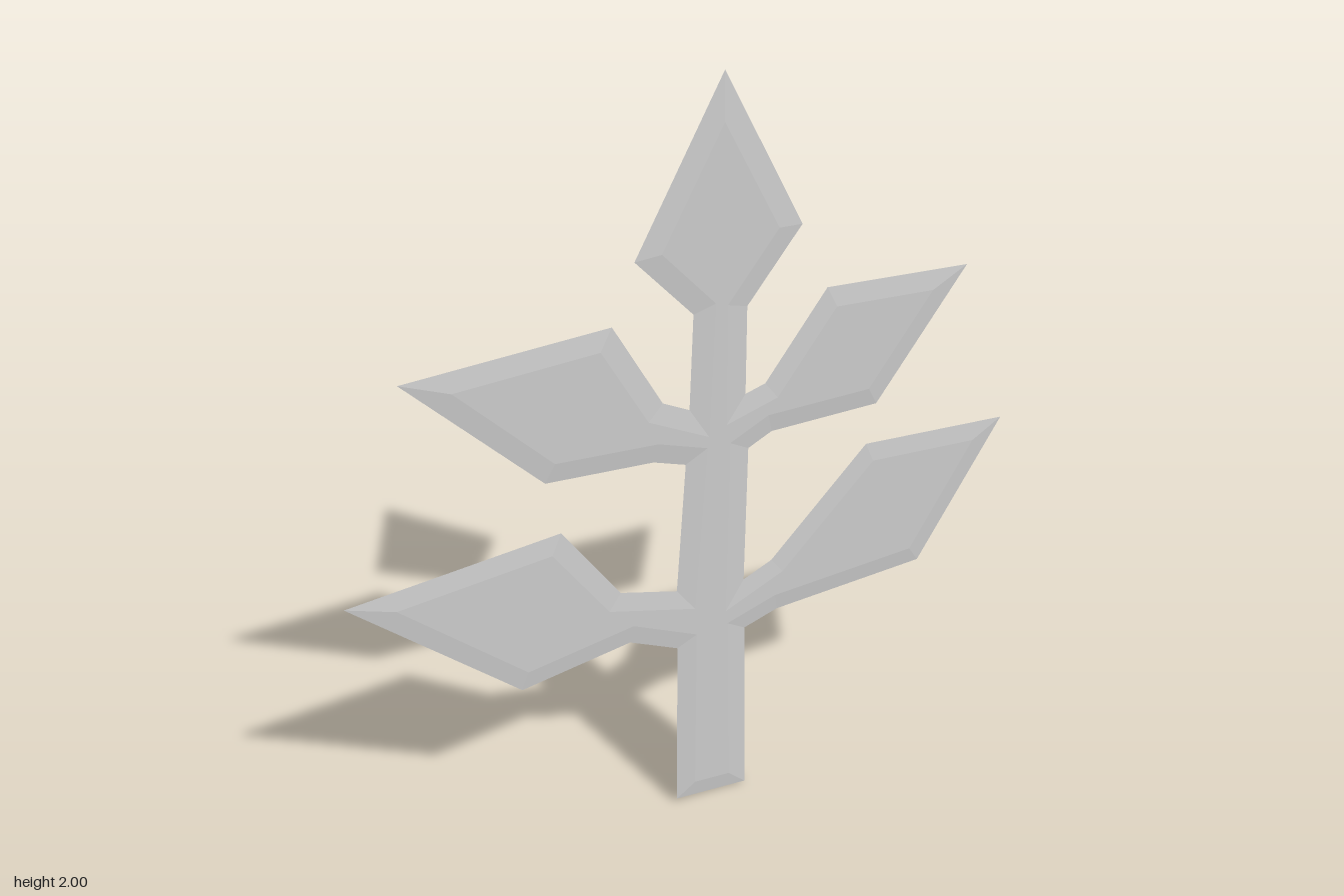
import * as THREE from 'three';

const BEVEL = 0.05;   // width of the sloped rim
const HALF = 0.0055;  // half thickness of the flat plate

// Outline, counter-clockwise from the front; each leaf starts and ends on the stem
const foot = [[-0.06, 0.02], [0.14, 0]];
const leaves = {
  lowerLeftLeaf: [[0.13, 0.54], [0.22, 0.57], [0.63, 0.59], [0.84, 0.97], [0.45, 1.0], [0.2, 0.73], [0.125, 0.695]],
  upperLeftLeaf: [[0.13, 1.08], [0.19, 1.11], [0.47, 1.11], [0.69, 1.43], [0.32, 1.455], [0.17, 1.245], [0.12, 1.23]],
  topLeaf: [[0.12, 1.455], [0.25, 1.625], [0.06, 2.0], [-0.145, 1.62], [-0.01, 1.465]],
  upperRightLeaf: [[-0.02, 1.225], [-0.085, 1.26], [-0.2, 1.48], [-0.67, 1.46], [-0.37, 1.13], [-0.11, 1.11], [-0.03, 1.08]],
  lowerRightLeaf: [[-0.055, 0.72], [-0.2, 0.765], [-0.34, 0.985], [-0.845, 0.94], [-0.46, 0.56], [-0.18, 0.605], [-0.055, 0.54]],
};

const outline = [...foot, ...Object.values(leaves).flat()].map(([x, y]) => new THREE.Vector2(x, y));
const count = outline.length;

// Mitred inset of the whole outline
const inwardNormal = (a, b) => new THREE.Vector2(a.y - b.y, b.x - a.x).normalize();
const inner = outline.map((p, i) => {
  const n1 = inwardNormal(outline[(i + count - 1) % count], p);
  const n2 = inwardNormal(p, outline[(i + 1) % count]);
  const scale = BEVEL / (1 + n1.dot(n2));
  return p.clone().add(n1.add(n2).multiplyScalar(scale));
});

// A plate over the listed inset points, with sloped rims along the listed edges, on both sides
function bevelledPart(name, capIds, edgeIds) {
  const positions = [];
  const triangle = (a, b, c) => {
    for (const side of [1, -1]) {
      for (const [p, z] of side > 0 ? [a, b, c] : [a, c, b]) positions.push(p.x, p.y, z * side);
    }
  };
  const cap = capIds.map((i) => inner[i]);
  for (const [a, b, c] of THREE.ShapeUtils.triangulateShape(cap, [])) {
    triangle([cap[a], HALF], [cap[b], HALF], [cap[c], HALF]);
  }
  for (const i of edgeIds) {
    const j = (i + 1) % count;
    triangle([outline[i], 0], [outline[j], 0], [inner[j], HALF]);
    triangle([outline[i], 0], [inner[j], HALF], [inner[i], HALF]);
  }
  const geometry = new THREE.BufferGeometry();
  geometry.setAttribute('position', new THREE.Float32BufferAttribute(positions, 3));
  geometry.computeVertexNormals();
  const material = new THREE.MeshStandardMaterial({ color: 0xcccccc, flatShading: true });
  const mesh = new THREE.Mesh(geometry, material);
  mesh.name = name;
  return mesh;
}

export function createModel() {
  const model = new THREE.Group();
  model.name = 'sprig';

  // Leaves take consecutive runs of the outline; the stem keeps the rest
  const stemCap = [0, 1];
  const stemEdges = [0, 1];
  let start = foot.length;
  for (const [name, points] of Object.entries(leaves)) {
    const ids = points.map((_, k) => start + k);
    const last = ids[ids.length - 1];
    model.add(bevelledPart(name, ids, ids.slice(0, -1)));
    stemCap.push(start, last);
    stemEdges.push(last);
    start = last + 1;
  }
  model.add(bevelledPart('stem', stemCap, stemEdges));
  return model;
}
